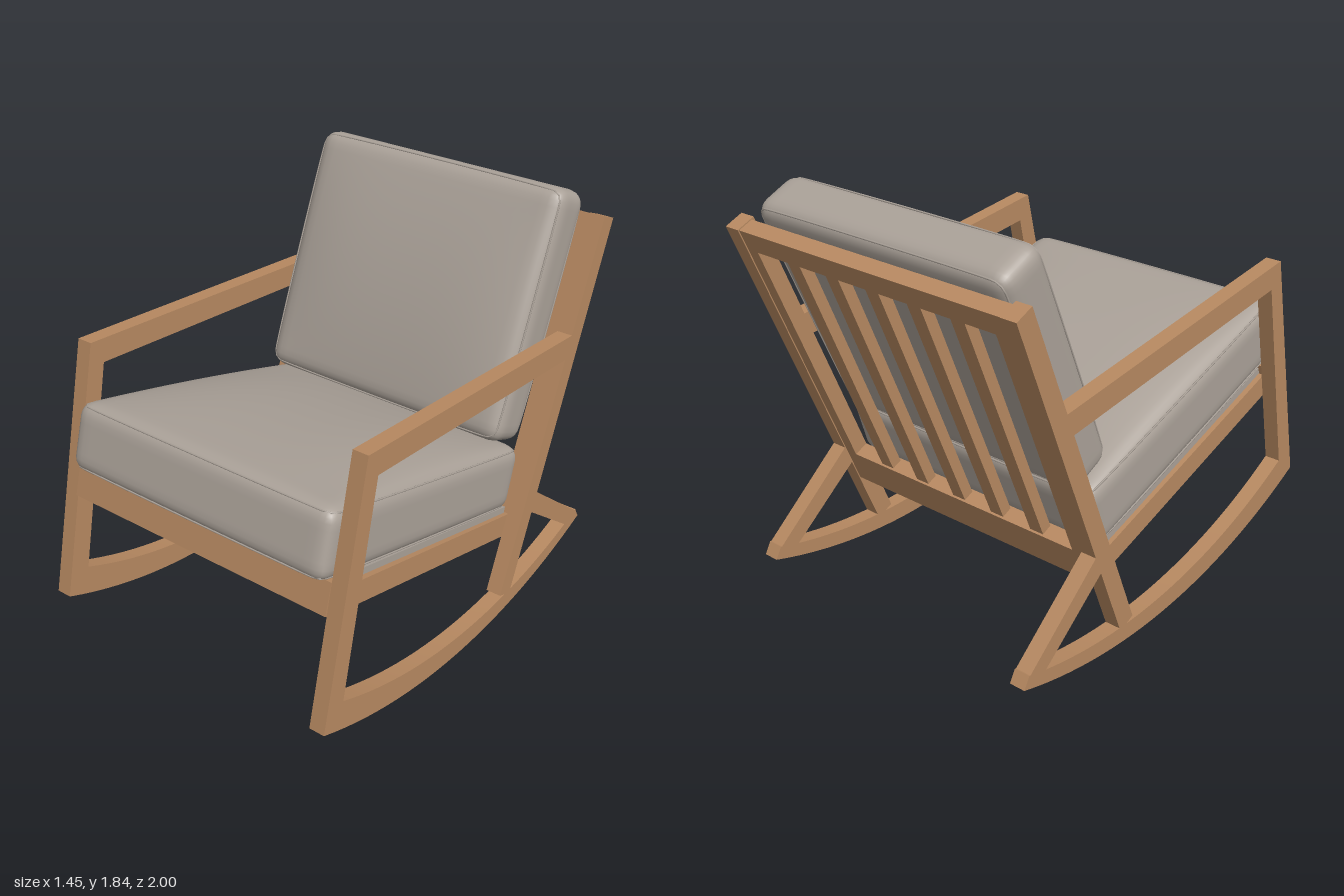
import * as THREE from 'three';
import { mergeVertices, toCreasedNormals } from 'three/addons/utils/BufferGeometryUtils.js';

const material = (name, color) => Object.assign(new THREE.MeshStandardMaterial({ color }), { name });

export function createModel() {
  const wood = material('wood', 0xb78961);
  const fabric = material('fabric', 0xaaa198);
  const steel = material('steel', 0x8c9094);
  const model = new THREE.Group();
  model.name = 'rockingChair';

  const add = (parent, name, geometry, mat, x = 0, y = 0, z = 0) => {
    const mesh = new THREE.Mesh(geometry, mat);
    mesh.name = name;
    mesh.position.set(x, y, z);
    parent.add(mesh);
    return mesh;
  };

  // Side outline given as [z, y] points, extruded from x0 to x1
  const profile = (name, points, x0, x1) => {
    const shape = new THREE.Shape(points.map(([z, y]) => new THREE.Vector2(z, y)));
    const g = new THREE.ExtrudeGeometry(shape, { depth: x1 - x0, bevelEnabled: false });
    g.rotateY(-Math.PI / 2).translate(x1, 0, 0);
    return add(model, name, toCreasedNormals(g, 0.5), wood);
  };
  const bothSides = (name, points, x0, x1) => {
    profile('left' + name, points, x0, x1);
    profile('right' + name, points, -x1, -x0);
  };

  // Point on the leaning rear post: t along it, s forward from its back face
  const post = (t, s) => [-0.37 - 0.375 * t + 0.927 * s, 0.11 + 0.927 * t + 0.375 * s];
  const postBar = (t0, t1, s0, s1) => [post(t0, s0), post(t0, s1), post(t1, s1), post(t1, s0)];

  // Rockers: a lower and an upper arc that draw together towards the rear
  const arc = (z, r, zMid, yLow) => [z, yLow + r - Math.sqrt(r * r - (z - zMid) ** 2)];
  const lower = (z) => arc(z, 2.6, -0.08, 0);
  const upper = (z) => arc(z, 2.45, -0.173, 0.085);
  const rocker = [];
  const N = 28;
  for (let i = 0; i <= N; i++) rocker.push(lower(-0.97 + (1.97 * i) / N));
  for (let i = 0; i <= N; i++) rocker.push(upper(0.88 - (1.82 * i) / N));

  // Side frames
  const IN = 0.655, OUT = 0.725;
  bothSides('Rocker', rocker, IN, OUT);
  bothSides('FrontLeg', [lower(1), [0.74, 1.352], [0.68, 1.24], upper(0.88)], IN, OUT);
  bothSides('Armrest', [[0.74, 1.352], [0.68, 1.24], [-0.69, 1.12], [-0.73, 1.22]], IN, OUT);
  bothSides('RearPost', postBar(-0.04, 1.68, 0, 0.088), IN, OUT);
  bothSides('RearBrace', [[-0.53, 0.525], [-0.49, 0.44], [-0.85, 0.17], [-0.935, 0.205]], IN, OUT);
  bothSides('SeatRail', [[0.85, 0.788], [-0.44, 0.432], [-0.4, 0.335], [0.85, 0.682]], 0.575, IN);

  // Backrest frame and slats
  profile('backTopRail', postBar(1.58, 1.675, 0.005, 0.075), -IN, IN);
  profile('backBottomRail', postBar(0.24, 0.42, 0.005, 0.075), -IN, IN);
  bothSides('BackStile', postBar(0.42, 1.58, 0.005, 0.075), 0.6, IN);
  for (let i = 0; i < 5; i++) {
    const x = (i - 2) * 0.207;
    profile('backSlat' + (i + 1), postBar(0.42, 1.58, 0.015, 0.065), x - 0.033, x + 0.033);
  }

  // Sloping seat base
  const seat = new THREE.Group();
  seat.name = 'seatBase';
  seat.position.set(0, 0.61, 0.2);
  seat.rotation.x = -0.275;
  model.add(seat);
  add(seat, 'frontRail', new THREE.BoxGeometry(IN * 2, 0.14, 0.08), wood, 0, -0.028, 0.66);
  add(seat, 'seatPanel', new THREE.BoxGeometry(1.27, 0.03, 1.25), fabric, 0, 0.016, -0.01);
  for (const s of [-1, 1]) {
    const block = add(seat, 'cornerBlock', new THREE.BoxGeometry(0.16, 0.05, 0.05), wood, s * 0.53, -0.035, -0.58);
    block.rotation.y = s * 0.7;
    add(seat, 'bolt', new THREE.CylinderGeometry(0.012, 0.012, 0.05, 12), steel, s * 0.4, -0.035, -0.59);
    add(seat, 'boltWasher', new THREE.CylinderGeometry(0.02, 0.02, 0.012, 12), steel, s * 0.4, -0.04, -0.59);
  }

  // Rounded cushion with a crowned top (+y)
  const cushionGeometry = (w, h, d, r, crown) => {
    const half = [w / 2, h / 2, d / 2];
    const g = new THREE.BoxGeometry(2, 2, 2, 28, 14, 28);
    g.deleteAttribute('uv');
    g.deleteAttribute('normal');
    const pos = g.attributes.position;
    const p = new THREE.Vector3(), core = new THREE.Vector3();
    for (let i = 0; i < pos.count; i++) {
      p.fromBufferAttribute(pos, i);
      p.set(...p.toArray().map((v, k) => Math.sin((v * Math.PI) / 2) * half[k]));
      core.set(...p.toArray().map((v, k) => THREE.MathUtils.clamp(v, r - half[k], half[k] - r)));
      p.sub(core).setLength(r).add(core);
      const swell = (1 - (p.x / half[0]) ** 4) * (1 - (p.z / half[2]) ** 2);
      p.y += crown * swell * (p.y > 0 ? p.y / half[1] : 0);
      pos.setXYZ(i, p.x, p.y, p.z);
    }
    const smooth = mergeVertices(g, 1e-5);
    smooth.computeVertexNormals();
    return smooth;
  };

  // Piping loop that follows the rounded edge at one face
  const pipingGeometry = (w, h, d, r, side) => {
    const pts = [], k = r * 0.707;
    const corners = [[1, 1], [-1, 1], [-1, -1], [1, -1]];
    corners.forEach(([sx, sz], c) => {
      for (let i = 0; i <= 4; i++) {
        const a = ((c + i / 4) * Math.PI) / 2;
        pts.push(new THREE.Vector3(sx * (w / 2 - r) + k * Math.cos(a), side * (h / 2 - r + k), sz * (d / 2 - r) + k * Math.sin(a)));
      }
    });
    return new THREE.TubeGeometry(new THREE.CatmullRomCurve3(pts, true), 160, 0.004, 6, true);
  };

  const cushion = (name, [w, h, d], r, crown, y, z, tilt) => {
    const group = new THREE.Group();
    group.name = name;
    group.position.set(0, y, z);
    group.rotation.x = tilt;
    add(group, name + 'Body', cushionGeometry(w, h, d, r, crown), fabric);
    for (const s of [-1, 1]) add(group, name + 'Piping', pipingGeometry(w, h, d, r, s), fabric);
    model.add(group);
  };
  cushion('seatCushion', [1.31, 0.295, 1.4], 0.06, 0.06, 0.8, 0.213, -0.283);
  cushion('backCushion', [1.25, 0.235, 1.105], 0.065, 0.045, 1.3, -0.632, Math.PI / 2 - 0.4);

  return model;
}
